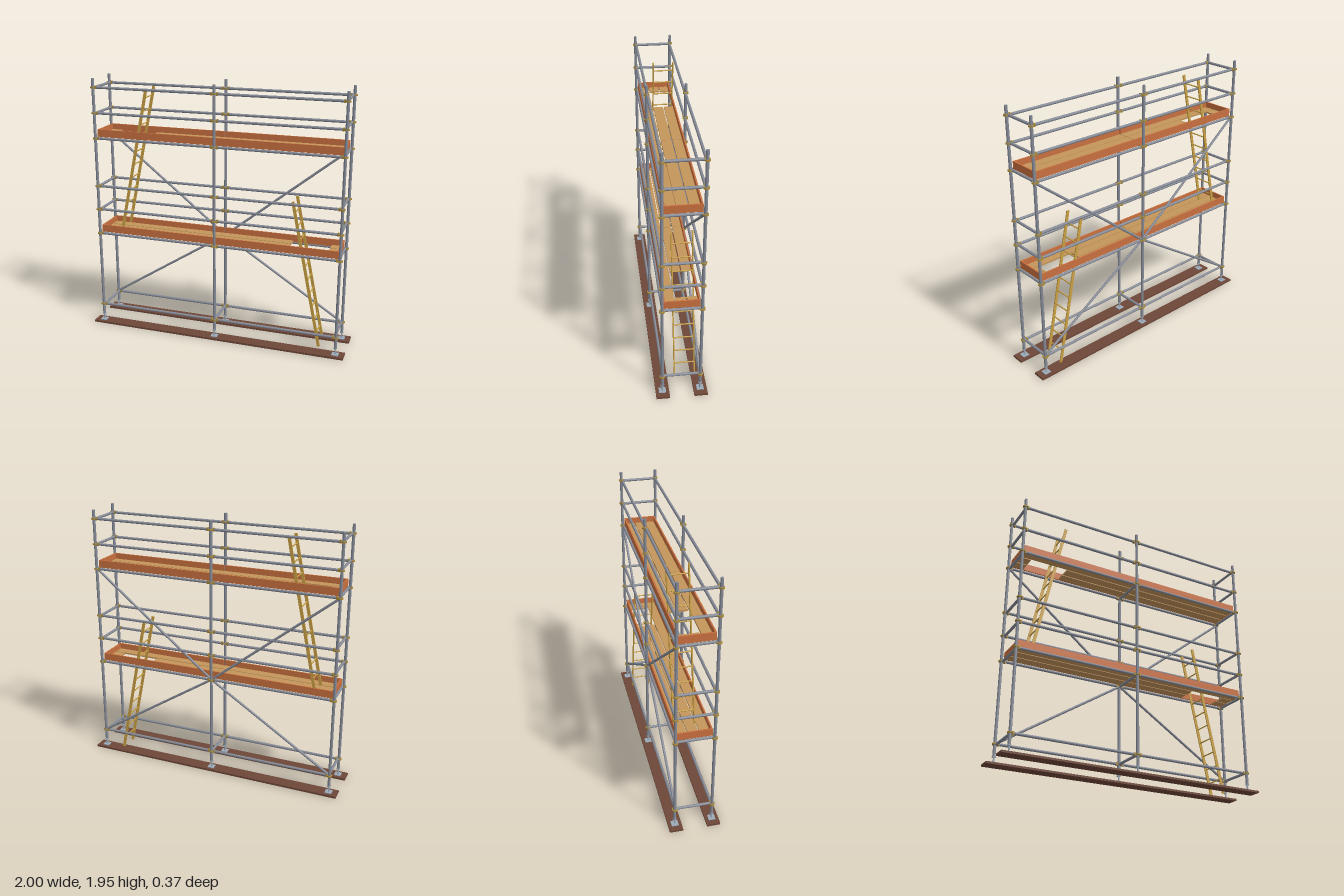
import * as THREE from 'three';

const paint = (name, color) => Object.assign(new THREE.MeshStandardMaterial({ color }), { name });

export function createModel() {
  const model = new THREE.Group();
  model.name = 'scaffold';
  const steel = paint('galvanised steel', 0x868b97);
  const plate = paint('pale steel', 0x9caab8);
  const brass = paint('coupler brass', 0xa88a3c);
  const plankWood = paint('plank wood', 0xc4955a);
  const toeWood = paint('toe board orange', 0xc9703f);
  const soleWood = paint('dark sole wood', 0x6e4738);
  const ladderWood = paint('ladder yellow', 0xc9a044);

  const group = (name) => {
    const g = new THREE.Group();
    g.name = name;
    model.add(g);
    return g;
  };
  // Box given by its lower and upper corners
  const box = (parent, name, mat, x0, x1, y0, y1, z0, z1) => {
    const m = new THREE.Mesh(new THREE.BoxGeometry(x1 - x0, y1 - y0, z1 - z0), mat);
    m.position.set((x0 + x1) / 2, (y0 + y1) / 2, (z0 + z1) / 2);
    m.name = name;
    parent.add(m);
    return m;
  };
  // Round bar between two points
  const bar = (parent, name, mat, a, b, r, sides = 12) => {
    const p = new THREE.Vector3(...a), q = new THREE.Vector3(...b);
    const d = q.clone().sub(p);
    const m = new THREE.Mesh(new THREE.CylinderGeometry(r, r, d.length(), sides), mat);
    m.position.copy(p).add(q).multiplyScalar(0.5);
    m.quaternion.setFromUnitVectors(new THREE.Vector3(0, 1, 0), d.normalize());
    m.name = name;
    parent.add(m);
    return m;
  };

  const PX = 0.935, PZ = 0.135, RX = 0.926, RZ = 0.13;
  const levels = [0.15, 0.75, 0.945, 1.13, 1.5, 1.69, 1.88];
  const decks = [0.75, 1.5];

  // Sole boards under each row of standards
  for (const s of [-1, 1]) {
    box(model, 'soleBoard', soleWood, -1, 1, 0, 0.015, s * PZ - 0.048, s * PZ + 0.048);
  }

  // Standards with screw jacks, base plates and couplers
  for (const x of [-PX, 0, PX]) {
    for (const z of [-PZ, PZ]) {
      const post = group('standard');
      bar(post, 'pole', steel, [x, 0.06, z], [x, 1.945, z], 0.011);
      bar(post, 'jackScrew', plate, [x, 0.015, z], [x, 0.07, z], 0.006, 8);
      bar(post, 'jackNut', plate, [x, 0.06, z], [x, 0.07, z], 0.014, 6);
      box(post, 'basePlate', plate, x - 0.025, x + 0.025, 0.015, 0.02, z - 0.025, z + 0.025);
      for (const y of levels) {
        bar(post, 'couplerRing', brass, [x, y - 0.005, z], [x, y + 0.005, z], 0.02, 12);
        // Clamps where the rails meet the pole
        for (const s of [-1, 1]) {
          if (x * s > 0) continue;
          const cx = x + s * 0.022;
          box(post, 'ledgerClamp', brass, cx - 0.006, cx + 0.006, y - 0.011, y + 0.011,
            Math.sign(z) * RZ - 0.011, Math.sign(z) * RZ + 0.011);
        }
      }
    }
  }

  // Ledgers along both sides, transoms across
  const rails = group('rails');
  for (const y of levels) {
    for (const s of [-1, 1]) {
      bar(rails, 'ledger', steel, [-PX, y, s * RZ], [PX, y, s * RZ], 0.01);
      bar(rails, 'endTransom', steel, [s * RX, y, -PZ], [s * RX, y, PZ], 0.01);
    }
  }
  for (const y of [0.15, ...decks]) {
    bar(rails, 'middleTransom', steel, [0, y, -PZ], [0, y, PZ], 0.01);
  }

  // Diagonal braces on the back
  const braces = group('backBraces');
  for (const s of [-1, 1]) {
    bar(braces, 'upperBrace', steel, [s * PX, 1.5, -RZ], [0, 0.75, -RZ], 0.009);
    bar(braces, 'lowerBrace', steel, [0, 0.75, -RZ], [s * PX, 0.15, -RZ], 0.009);
  }

  // Decks: three rows of planks, the rear two cut away for the ladder hatch
  decks.forEach((y, i) => {
    const deck = group(i ? 'upperDeck' : 'lowerDeck');
    const side = i ? -1 : 1;
    const y0 = y + 0.01, y1 = y + 0.022;
    [-0.082, 0, 0.082].forEach((z, row) => {
      for (const s of [-1, 1]) {
        const spans = row < 2 && s === side ? [[0.002, 0.54], [0.83, 0.92]] : [[0.002, 0.92]];
        for (const [a, b] of spans) {
          box(deck, 'plank', plankWood, Math.min(s * a, s * b), Math.max(s * a, s * b),
            y0, y1, z - 0.037, z + 0.037);
        }
      }
    });
    // Toe boards all round
    for (const s of [-1, 1]) {
      for (const t of [-1, 1]) {
        const xs = [t * 0.004, t * 0.922].sort((a, b) => a - b);
        box(deck, 'sideToeBoard', toeWood, ...xs, y0, y + 0.065, s * 0.118 - 0.005, s * 0.118 + 0.005);
      }
      box(deck, 'endToeBoard', toeWood, s * 0.916 - 0.005, s * 0.916 + 0.005, y0, y + 0.065, -0.113, 0.113);
    }
  });

  // Leaning ladders
  const ladder = (name, foot, top) => {
    const g = group(name);
    const dx = top[0] - foot[0], dy = top[1] - foot[1];
    for (const z of [-0.115, 0.031]) {
      const stile = box(g, 'stile', ladderWood, -0.011, 0.011, 0, Math.hypot(dx, dy), z - 0.004, z + 0.004);
      stile.position.set((foot[0] + top[0]) / 2, (foot[1] + top[1]) / 2, z);
      stile.rotation.z = -Math.atan2(dx, dy);
    }
    for (let k = 1; k <= 10; k++) {
      const t = k * 0.103 / dy;
      const x = foot[0] + dx * t, y = foot[1] + dy * t;
      bar(g, 'rung', ladderWood, [x, y, -0.115], [x, y, 0.031], 0.005, 8);
    }
  };
  ladder('lowerLadder', [0.79, 0.005], [0.56, 1.12]);
  ladder('upperLadder', [-0.79, 0.775], [-0.56, 1.87]);

  return model;
}
